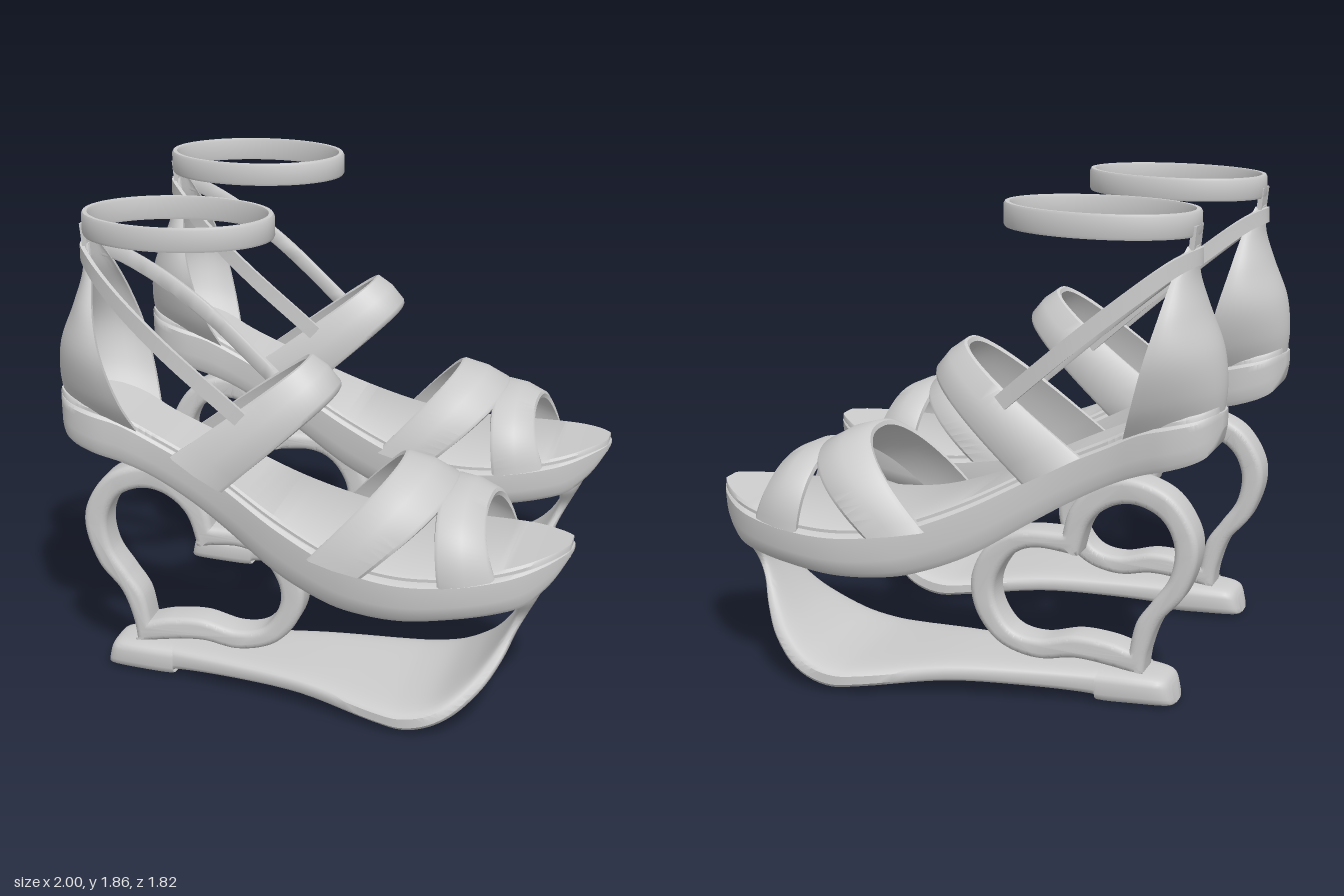
import * as THREE from 'three';
import { toCreasedNormals } from 'three/addons/utils/BufferGeometryUtils.js';

const material = new THREE.MeshStandardMaterial({ color: 0xcccccc, side: THREE.DoubleSide });
const V = (x, y, z) => new THREE.Vector3(x, y, z);
const lerp = THREE.MathUtils.lerp;
const spow = (v, p) => Math.sign(v) * Math.abs(v) ** p;

// Catmull-Rom interpolation of whole station rows
function smooth(rows, n) {
  const out = [];
  const at = i => rows[Math.max(0, Math.min(rows.length - 1, i))];
  for (let i = 0; i < rows.length - 1; i++) {
    for (let k = 0; k < n; k++) {
      const t = k / n;
      out.push(rows[i].map((b, c) => {
        const a = at(i - 1)[c], d = at(i + 1)[c], e = at(i + 2)[c];
        return b + 0.5 * t * (d - a + t * (2 * a - 5 * b + 4 * d - e + t * (3 * (b - d) + e - a)));
      }));
    }
  }
  out.push(at(rows.length));
  return out;
}

// Closed, capped skin over ring sections; s = -1 mirrors in z
function loft(sections, s, crease = 0.7) {
  const n = sections[0].length, pts = sections.flat().map(p => V(p.x, p.y, p.z * s));
  const idx = [];
  for (let i = 0; i < sections.length - 1; i++) {
    for (let j = 0; j < n; j++) {
      const a = i * n + j, b = i * n + (j + 1) % n;
      idx.push(a, b, a + n, b, b + n, a + n);
    }
  }
  const last = (sections.length - 1) * n;
  const contour = sections.map(r => r.length)[0];
  // strip caps suit both convex rings and thin U-shaped rings
  for (let j = 0; j < contour / 2 - 1; j++) {
    const k = n - 1 - j;
    for (const [o, flip] of [[0, false], [last, true]]) {
      const quad = [[j, k, j + 1], [j + 1, k, k - 1]];
      for (const [a, b, c] of quad) {
        if (a === b || b === c || a === c) continue;
        flip ? idx.push(o + a, o + c, o + b) : idx.push(o + a, o + b, o + c);
      }
    }
  }
  // turn faces outward by the sign of the enclosed volume
  let volume = 0;
  for (let i = 0; i < idx.length; i += 3) {
    volume += pts[idx[i]].dot(V().crossVectors(pts[idx[i + 1]], pts[idx[i + 2]]));
  }
  if (volume < 0) idx.reverse();
  const g = new THREE.BufferGeometry().setFromPoints(pts);
  g.setIndex(idx);
  return toCreasedNormals(g, crease);
}

// Sole stations: x, centre z, half width, bottom y, top y
const SOLE = smooth([
  [-1, .53, .03, 1.08, 1.14], [-.97, .53, .10, 1.0, 1.135], [-.92, .53, .145, .965, 1.12],
  [-.83, .53, .17, .935, 1.10], [-.72, .53, .165, .905, 1.07], [-.6, .53, .155, .855, 1.01],
  [-.45, .53, .165, .775, .94], [-.3, .537, .19, .685, .865], [-.1, .55, .245, .565, .765],
  [.1, .556, .30, .49, .685], [.25, .558, .335, .468, .645], [.42, .56, .35, .466, .63],
  [.6, .56, .33, .485, .635], [.75, .56, .28, .503, .65], [.85, .56, .22, .525, .665],
  [.93, .56, .14, .585, .68], [.98, .555, .07, .65, .69], [1, .555, .02, .68, .695],
], 5);
const SOLE_RING = [[.94, 1], [1, .93], [1, .78], [.985, .4], [.96, .12], [.9, 0], [.45, 0]];

function sole(s) {
  const ring = [...SOLE_RING, ...SOLE_RING.map(([u, v]) => [-u, v]).reverse()];
  return loft(SOLE.map(([x, zc, w, b, t]) => ring.map(([u, v]) => V(x, lerp(b, t, v), zc + u * w))), s);
}

function insole(s) {
  const ring = [[.86, .022], [.91, .012], [.91, -.03], [-.91, -.03], [-.91, .012], [-.86, .022]];
  return loft(SOLE.slice(3, -3).map(([x, zc, w, , t]) => ring.map(([u, v]) => V(x, t + v, zc + u * w))), s);
}

// Ground plate curling up into the toe strut: inner x, y, outer x, y, half width, centre z
const BASE = smooth([
  [-.83, .075, -.845, .005, .05, .53], [-.8, .108, -.82, 0, .095, .53], [-.7, .12, -.7, 0, .12, .53],
  [-.56, .122, -.56, 0, .13, .53], [-.54, .122, -.54, .022, .13, .53], [-.3, .125, -.3, .038, .165, .54],
  [0, .125, 0, .043, .225, .55], [.3, .10, .3, .012, .31, .56], [.42, .10, .45, .002, .332, .56],
  [.53, .125, .59, .055, .315, .56], [.63, .19, .7, .155, .255, .56], [.7, .26, .765, .255, .185, .555],
  [.76, .345, .805, .35, .125, .55], [.795, .42, .845, .43, .108, .55], [.8, .49, .89, .52, .15, .55],
  [.79, .54, .92, .585, .16, .55],
], 5);

function base(s) {
  return loft(BASE.map(([ix, iy, ox, oy, w, zc]) => Array.from({ length: 24 }, (_, i) => {
    const a = (i + .5) / 24 * Math.PI * 2, d = .5 + .5 * spow(Math.sin(a), .5);
    return V(lerp(ox, ix, d), lerp(oy, iy, d), zc + w * spow(Math.cos(a), .5));
  })), s);
}

// Openwork heart: each outline is two curves, notch to tip and back
function heart(s) {
  const outline = (C, a, b) => {
    const v = p => p.map(([x, y]) => new THREE.Vector2(x, y));
    return new C().moveTo(...a[0]).splineThru(v(a.slice(1))).splineThru(v(b));
  };
  const shape = outline(THREE.Shape,
    [[-.4, .63], [-.43, .73], [-.52, .83], [-.66, .865], [-.81, .815], [-.9, .7], [-.92, .58], [-.87, .43], [-.78, .32], [-.735, .2], [-.72, .1]],
    [[-.6, .125], [-.45, .14], [-.3, .12], [-.15, .165], [-.055, .28], [-.035, .42], [-.1, .55], [-.22, .62], [-.4, .63]]);
  shape.holes.push(outline(THREE.Path,
    [[-.46, .545], [-.5, .67], [-.58, .745], [-.68, .765], [-.78, .72], [-.83, .62], [-.815, .5], [-.75, .4], [-.69, .31], [-.665, .2]],
    [[-.58, .222], [-.45, .23], [-.31, .2], [-.2, .225], [-.135, .32], [-.135, .42], [-.2, .52], [-.3, .56], [-.46, .545]]));
  const g = new THREE.ExtrudeGeometry(shape, {
    depth: .09, bevelEnabled: true, bevelSize: .025, bevelOffset: -.025, bevelThickness: .025, bevelSegments: 4, curveSegments: 50,
  });
  g.translate(0, 0, s * .53 - .045);
  return toCreasedNormals(g, .7);
}

// Heel cup, U-shaped rows: back y, front y, back x, front x, half width
function heelCup(s) {
  const rows = smooth([
    [1.09, 1.03, -.985, -.655, .148], [1.22, 1.16, -1, -.7, .215], [1.36, 1.33, -.982, -.75, .247],
    [1.5, 1.48, -.925, -.79, .21], [1.62, 1.62, -.888, -.82, .125], [1.73, 1.73, -.885, -.855, .05],
  ], 6);
  const arc = (r, inset) => Array.from({ length: 25 }, (_, i) => {
    const a = (i / 24 - .5) * Math.PI, c = Math.cos(a);
    return V(lerp(r[3], r[2] + inset, c), lerp(r[1], r[0], c), .53 + (r[4] - inset) * Math.sin(a));
  });
  return loft(rows.map(r => [...arc(r, 0), ...arc(r, .016).reverse()]), s);
}

// Strap arching over the foot; each edge: base x, y, half width, apex x, y
function archStrap(s, zc, rear, front, p = .85) {
  const sections = [];
  for (let i = 0; i <= 40; i++) {
    const a = i / 40 * Math.PI, f = Math.sin(a) ** p, c = spow(Math.cos(a), p);
    const point = (u, inset) => {
      const e = rear.map((v, k) => lerp(v, front[k], u));
      const bulge = Math.sin(u * Math.PI) * .012 - inset;
      return V(lerp(e[0], e[3], f) + bulge * f * .4, lerp(e[1], e[4], f) + bulge * f, zc + (e[2] + bulge) * c);
    };
    sections.push([...[0, .06, .5, .94, 1].map((u, k) => point(u, k % 4 ? 0 : .008)),
      ...[1, .5, 0].map(u => point(u, .024))]);
  }
  return loft(sections, s);
}

// Flat sling strap running from one side around the back to the other
function slingStrap(s) {
  const half = [[-.22, 1.155, .232], [-.5, 1.4, .25], [-.7, 1.565, .2], [-.83, 1.665, .11]];
  const pts = [...half.map(([x, y, z]) => V(x, y, .53 - z)), V(-.893, 1.695, .53),
    ...half.map(([x, y, z]) => V(x, y, .53 + z)).reverse()];
  const curve = new THREE.CatmullRomCurve3(pts);
  return loft(Array.from({ length: 61 }, (_, i) => {
    const c = curve.getPointAt(i / 60), t = curve.getTangentAt(i / 60);
    const n = V().crossVectors(t, V(0, 1, 0)).normalize(), u = V().crossVectors(n, t);
    return [[1, .6], [.8, 1], [-.8, 1], [-1, .6], [-1, -1], [1, -1]].map(([h, d]) =>
      c.clone().addScaledVector(u, h * .03).addScaledVector(n, -d * .01));
  }), s);
}

function ankleStrap(s) {
  const profile = [[.985, -.045], [1, -.035], [1, .035], [.985, .045], [.94, .045], [.93, .035], [.93, -.035], [.94, -.045], [.985, -.045]];
  const g = new THREE.LatheGeometry(profile.map(p => new THREE.Vector2(...p)), 64);
  g.scale(.367, 1, .247).rotateZ(.012).translate(-.522, 1.813, s * .52);
  return toCreasedNormals(g, .7);
}

function heelTab(s) {
  return new THREE.BoxGeometry(.02, .13, .1).rotateZ(.1).translate(-.872, 1.74, s * .53);
}

export function createModel() {
  const model = new THREE.Group();
  for (const s of [1, -1]) {
    const shoe = new THREE.Group();
    shoe.name = s > 0 ? 'frontShoe' : 'backShoe';
    const parts = {
      sole: sole(s), insole: insole(s), basePlate: base(s), heartHeel: heart(s),
      heelCup: heelCup(s), heelTab: heelTab(s), ankleStrap: ankleStrap(s), slingStrap: slingStrap(s),
      instepStrap: archStrap(s, .54, [-.51, .965, .195, -.02, 1.345], [-.3, .855, .225, .1, 1.23], .75),
      rearToeStrap: archStrap(s, .56, [.05, .66, .295, .35, .99], [.27, .63, .342, .56, .9]),
      frontToeStrap: archStrap(s, .56, [.55, .62, .34, .52, .905], [.75, .64, .275, .69, .855]),
    };
    for (const [name, geometry] of Object.entries(parts)) {
      const mesh = new THREE.Mesh(geometry, material);
      mesh.name = name;
      shoe.add(mesh);
    }
    model.add(shoe);
  }
  return model;
}
